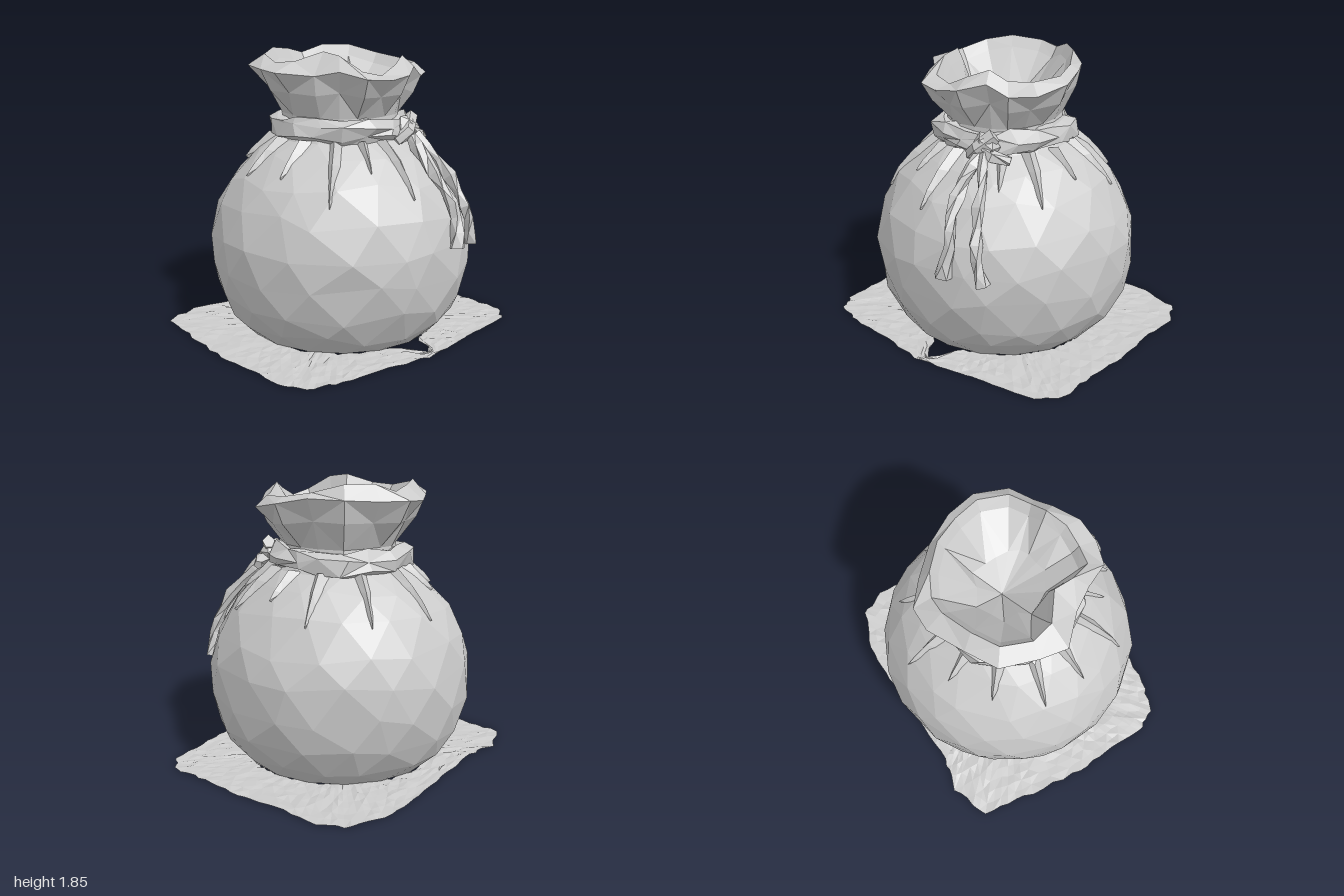
import * as THREE from 'three';

const material = new THREE.MeshStandardMaterial({ color: 0xcccccc, flatShading: true, side: THREE.DoubleSide });
const V = (x, y, z) => new THREE.Vector3(x, y, z);
const polar = (a, r, y) => V(Math.cos(a) * r, y, Math.sin(a) * r);
const TAU = Math.PI * 2;

// repeatable noise in -1..1
function noise(i, j, k = 0) {
  const s = Math.sin(i * 127.1 + j * 311.7 + k * 74.7) * 43758.5453;
  return 2 * (s - Math.floor(s)) - 1;
}

// skin over closed rings of equal point count; staggered rings get even triangles
function loft(rings, staggered = false) {
  const n = rings[0].length, index = [];
  for (let i = 0; i < rings.length - 1; i++) {
    for (let j = 0; j < n; j++) {
      const a = i * n + j, b = i * n + (j + 1) % n, c = a + n, d = b + n;
      if ((staggered ? i : i + j) % 2) index.push(a, c, d, a, d, b);
      else index.push(a, c, b, b, c, d);
    }
  }
  const geometry = new THREE.BufferGeometry().setFromPoints(rings.flat());
  geometry.setIndex(index);
  geometry.computeVertexNormals();
  return geometry;
}

function ring(n, make) {
  return Array.from({ length: n }, (_, j) => make(j, j / n * TAU));
}

// faceted cord along a path, with closed ends
function cord(points, radii, sides, seed) {
  const curve = new THREE.CatmullRomCurve3(points.map(p => V(...p)));
  const steps = radii.length - 1, rings = [];
  const at = (t, r, i) => {
    const p = curve.getPoint(t), dir = curve.getTangent(t);
    const u = V(1, 0, 0).cross(dir).normalize(), v = dir.clone().cross(u);
    return ring(sides, (j, a) => {
      const q = r * (1 + 0.3 * noise(i, j, seed));
      return p.clone().addScaledVector(u, Math.cos(a + i * 0.4) * q).addScaledVector(v, Math.sin(a + i * 0.4) * q);
    });
  };
  rings.push(at(0, 0, 0));
  radii.forEach((r, i) => rings.push(at(i / steps, r, i)));
  rings.push(at(1, 0, steps));
  return loft(rings);
}

// body outline as radius, height; the first two points form the dented underside
const profile = [[0, 0.1], [0.34, 0.07], [0.63, 0.015], [0.75, 0.13], [0.83, 0.29], [0.868, 0.48],
  [0.866, 0.68], [0.81, 0.88], [0.71, 1.06], [0.57, 1.2], [0.43, 1.3], [0.37, 1.38]];

function bodyRadius(y) {
  const i = profile.findIndex((p, k) => k > 2 && p[1] >= y);
  const [r0, y0] = profile[i - 1], [r1, y1] = profile[i];
  return r0 + (r1 - r0) * (y - y0) / (y1 - y0);
}

// round, slightly lumpy body
function bodyGeometry() {
  const n = 17;
  return loft(profile.map(([r, y], i) => ring(n, (j, a) => {
    const lump = i > 2 && i < 10 ? 1 : 0;
    const t = a + (i % 2) * Math.PI / n + lump * 0.08 * noise(i, j);
    const dy = 0.04 * lump * noise(i, j, 5) + (i === 1 ? 0.03 * noise(i, j) : 0);
    return polar(t, (lump ? bodyRadius(y + dy) : r) * (1 + 0.006 * lump * noise(j, i, 3)), y + dy);
  })), true);
}

// gathered neck, flaring lip, folded rim and funnel inside
function mouthGeometry() {
  // x, z, lip height, crest height, crest inset
  const rim = [
    [0.55, 0.06, 1.74, 1.78, 0.88], [0.50, 0.28, 1.70, 1.77, 0.86], [0.36, 0.38, 1.69, 1.77, 0.86],
    [0.24, 0.44, 1.76, 1.83, 0.84], [0.10, 0.55, 1.72, 1.78, 0.8], [-0.06, 0.57, 1.70, 1.72, 0.8],
    [-0.22, 0.53, 1.71, 1.75, 0.82], [-0.31, 0.37, 1.75, 1.84, 0.8], [-0.40, 0.24, 1.72, 1.86, 0.66],
    [-0.58, 0.08, 1.74, 1.80, 0.72], [-0.56, -0.10, 1.75, 1.79, 0.82], [-0.50, -0.33, 1.76, 1.83, 0.82],
    [-0.32, -0.45, 1.76, 1.86, 0.84], [-0.10, -0.58, 1.75, 1.84, 0.8], [0.05, -0.59, 1.76, 1.81, 0.8],
    [0.20, -0.48, 1.76, 1.86, 0.86], [0.36, -0.33, 1.77, 1.86, 0.88], [0.48, -0.14, 1.78, 1.81, 0.88]];
  const round = (r, y, pleat) => rim.map(([x, z], j) => {
    const q = r * (1 + pleat * noise(j, 2)) / Math.hypot(x, z);
    return V(x * q, y, z * q);
  });
  return loft([
    round(0.38, 1.3, 0.03), round(0.365, 1.45, 0.06),
    rim.map(([x, z, y], j) => V(x, y, z).lerp(polar(Math.atan2(z, x), 0.37, 1.45), 0.45)
      .multiply(V(1 + 0.05 * (-1) ** j, 1, 1 + 0.05 * (-1) ** j))),
    rim.map(([x, z, y]) => V(x, y, z)),
    rim.map(([x, z, , y, s]) => V(x * s, y, z * s)),
    rim.map(([x, z, , y, s]) => V(x * s * 0.9, y - 0.07, z * s * 0.9)),
    round(0.22, 1.55, 0.15),
    rim.map(() => V(0.02, 1.38, -0.03))]);
}

// pointed cloth pleat lying on the shoulder, from the neck down to a tip
function pleatGeometry(angle, tipY, width) {
  const rows = 3, rings = [];
  for (let i = 0; i <= rows; i++) {
    const t = i / rows, y = 1.31 + (tipY - 1.31) * t, r = bodyRadius(y), w = width * (1 - t);
    const a = angle + width * 0.3 * t;
    rings.push([polar(a - w, r - 0.025, y), polar(a + w, r - 0.025, y), polar(a + w * 0.25, r + 0.045 * (1 - t), y + 0.015)]);
  }
  return loft(rings);
}

// tie band wrapped around the neck
function bandGeometry() {
  const n = 17, section = [[-0.07, -0.05], [-0.01, -0.075], [0.05, -0.05], [0.055, 0.02], [0.01, 0.07], [-0.07, 0.06]];
  return loft([...section, section[0]].map(([dr, dy], i) => ring(n, (j, a) => {
    const k = i % section.length;
    const r = 0.385 + dr + 0.028 * noise(k, j, 7) + 0.03 * Math.abs(Math.sin(a));
    return polar(a + 0.08 * noise(j, k, 2), r, 1.375 + dy + 0.025 * noise(j, k, 9));
  })));
}

// rough, thin ground sheet with a ragged opening beneath the body
function groundGeometry() {
  const outline = [[1, 0], [0.97, 0.3], [0.98, 0.58], [0.86, 0.71], [0.52, 0.78], [0.3, 0.83], [0, 0.87],
    [-0.3, 0.83], [-0.65, 0.82], [-0.86, 0.75], [-0.95, 0.6], [-0.97, 0.3], [-1, 0], [-0.97, -0.4],
    [-0.95, -0.7], [-0.68, -0.81], [-0.45, -0.77], [-0.1, -0.8], [0.3, -0.87], [0.6, -0.89],
    [0.87, -0.8], [0.97, -0.62], [0.97, -0.3]];
  const n = outline.length * 5, rows = 7, rings = [];
  for (let i = 0; i <= rows; i++) {
    rings.push(ring(n, (j) => {
      const k = Math.floor(j / 5), f = (j % 5) / 5;
      const p = outline[k], q = outline[(k + 1) % outline.length];
      const x = p[0] + (q[0] - p[0]) * f, z = p[1] + (q[1] - p[1]) * f;
      const a = Math.atan2(z, x);
      const gap = 0.18 * Math.max(0, 1 - ((a - 1.5) / 0.16) ** 2);
      const outer = Math.hypot(x, z) + (i === rows ? 0.012 * noise(j, 4) : 0);
      const inner = 0.615 + 0.012 * noise(j, 8) + gap;
      const wobble = i > 0 && i < rows ? 0.006 * noise(i, j, 2) : 0;
      return polar(a, inner + (outer - inner) * (i / rows) + wobble, 0.012 + 0.006 * noise(i, j, 6));
    }));
  }
  // outermost ring first so that the faces look upward
  return loft(rings.reverse());
}

export function createModel() {
  const model = new THREE.Group();
  model.name = 'tiedSack';
  const add = (name, geometry, parent = model) => {
    const mesh = new THREE.Mesh(geometry, material);
    mesh.name = name;
    parent.add(mesh);
    return mesh;
  };

  add('sackBody', bodyGeometry());
  add('sackMouth', mouthGeometry());
  add('tieBand', bandGeometry());
  add('groundSheet', groundGeometry());

  // pleats around the shoulder: angle in degrees, tip height, half width
  const pleats = new THREE.Group();
  pleats.name = 'pleats';
  model.add(pleats);
  [[-92, 1.02, 0.12], [-57, 1.03, 0.12], [-25, 1.03, 0.14], [2, 1.14, 0.14], [28, 1.04, 0.14],
    [50, 1.13, 0.12], [90, 0.98, 0.13], [110, 1.14, 0.1], [132, 0.96, 0.12], [160, 1.1, 0.14],
    [186, 1.08, 0.12], [215, 1.14, 0.14], [243, 1.15, 0.14]].forEach(([deg, y, w]) =>
    add('pleat', pleatGeometry(deg * Math.PI / 180, y, w), pleats));

  // knot with its crossing wraps and two hanging ends
  const knot = new THREE.Group();
  knot.name = 'knot';
  model.add(knot);
  const core = add('knotCore', new THREE.IcosahedronGeometry(0.085, 0), knot);
  core.position.set(0.21, 1.37, 0.41);
  core.scale.set(1.15, 1.1, 0.85);
  add('upperWrap', cord([[0.10, 1.30, 0.43], [0.18, 1.36, 0.46], [0.26, 1.44, 0.39]], [0.035, 0.055, 0.045], 5, 2), knot);
  add('sideWrap', cord([[0.20, 1.36, 0.44], [0.29, 1.33, 0.44], [0.38, 1.30, 0.38]], [0.045, 0.05, 0.03], 5, 3), knot);

  const endRadii = [0.035, 0.045, 0.034, 0.043, 0.032, 0.043, 0.032, 0.04, 0.05];
  add('hangingEnd', cord([[0.2, 1.33, 0.46], [0.2, 1.2, 0.6], [0.23, 1.02, 0.74], [0.27, 0.85, 0.81], [0.245, 0.66, 0.84]],
    endRadii, 5, 4), knot);
  add('hangingEnd', cord([[0.23, 1.33, 0.46], [0.33, 1.17, 0.58], [0.4, 0.97, 0.7], [0.44, 0.8, 0.75], [0.48, 0.64, 0.74]],
    endRadii, 5, 5), knot);
  return model;
}
